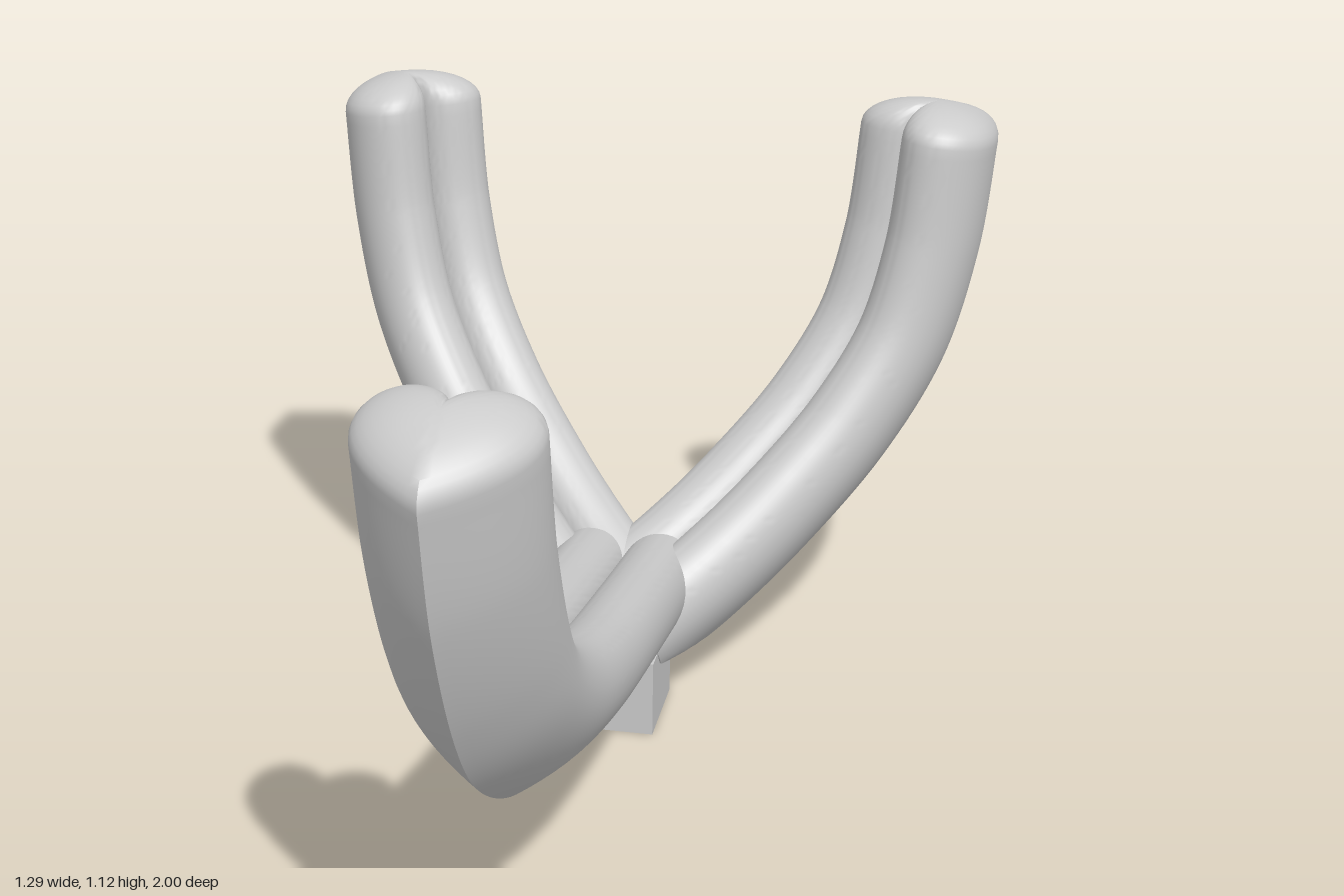
import * as THREE from 'three';
import { mergeVertices, toCreasedNormals } from 'three/addons/utils/BufferGeometryUtils.js';

const FLOOR = 0.115;   // underside where the arms are cut flat
const HUB_Z = -0.43;   // point where the arms meet
const material = new THREE.MeshStandardMaterial({ color: 0xcccccc });

// Heart section: x = sideways, y = distance inward from the outer ridge
function heartSection() {
  const s = new THREE.Shape();
  s.moveTo(0, 0);
  s.bezierCurveTo(0.07, 0.045, 0.14, 0.11, 0.14, 0.178);
  s.bezierCurveTo(0.14, 0.225, 0.11, 0.262, 0.07, 0.262);
  s.bezierCurveTo(0.035, 0.262, 0.006, 0.24, 0, 0.212);
  s.bezierCurveTo(-0.006, 0.24, -0.035, 0.262, -0.07, 0.262);
  s.bezierCurveTo(-0.11, 0.262, -0.14, 0.225, -0.14, 0.178);
  s.bezierCurveTo(-0.14, 0.11, -0.07, 0.045, 0, 0);
  const pts = s.getPoints(12);
  if (pts[0].distanceTo(pts[pts.length - 1]) < 1e-6) pts.pop();
  return pts;
}

// Sweep the heart along its outer ridge, given as [outward, height] points
function armGeometry(ridge) {
  const curve = new THREE.SplineCurve(ridge.map(([u, y]) => new THREE.Vector2(u, y)));
  const section = heartSection(), n = section.length;
  const steps = 90, capSteps = 10, capHeight = 0.065, centre = 0.15;

  // Each ring: position along the ridge, scale about the centre, lift for the domed tip
  const rings = [{ t: 0, scale: 0, lift: 0 }];
  for (let i = 0; i <= steps; i++) rings.push({ t: i / steps, scale: 1, lift: 0 });
  for (let i = 1; i <= capSteps; i++) {
    const a = (i / capSteps) * Math.PI / 2;
    rings.push({ t: 1, scale: i === capSteps ? 0 : Math.cos(a), lift: capHeight * Math.sin(a) });
  }

  const positions = [], index = [];
  rings.forEach(({ t, scale, lift }, r) => {
    const p = curve.getPointAt(t), d = curve.getTangentAt(t);
    section.forEach((q, j) => {
      const inward = centre + (q.y - centre) * scale;
      const u = p.x - d.y * inward + d.x * lift;
      const y = p.y + d.x * inward + d.y * lift;
      positions.push(q.x * scale, Math.max(y, FLOOR), u);
      if (r === 0) return;
      const k = (j + 1) % n, a = (r - 1) * n + j, b = (r - 1) * n + k;
      if (r > 1) index.push(a, b, r * n + k);
      else index.push(a, r * n + k, r * n + j);
      if (r > 1 && r < rings.length - 1) index.push(a, r * n + k, r * n + j);
    });
  });
  const g = new THREE.BufferGeometry();
  g.setAttribute('position', new THREE.Float32BufferAttribute(positions, 3));
  g.setIndex(index);
  return toCreasedNormals(mergeVertices(g, 1e-5), 0.7);
}

export function createModel() {
  const group = new THREE.Group();

  const addArm = (name, geometry, degrees) => {
    const arm = new THREE.Mesh(geometry, material);
    arm.name = name;
    arm.position.z = HUB_Z;
    arm.rotation.y = THREE.MathUtils.degToRad(degrees);
    group.add(arm);
  };

  // Long front arm
  addArm('frontArm', armGeometry([
    [-0.04, 0.06], [0.27, 0.117], [0.62, 0.19], [0.89, 0.28],
    [1.12, 0.42], [1.26, 0.58], [1.37, 0.8], [1.425, 1.01],
  ]), 0);

  // Pair of shorter, steeper back arms
  const backArm = armGeometry([
    [0.08, 0.02], [0.25, 0.112], [0.42, 0.23], [0.6, 0.39],
    [0.74, 0.58], [0.815, 0.8], [0.845, 1.02],
  ]);
  addArm('leftBackArm', backArm, 131);
  addArm('rightBackArm', backArm, -131);

  // Square mounting peg
  const peg = new THREE.Mesh(new THREE.BoxGeometry(0.19, 0.15, 0.19), material);
  peg.name = 'basePeg';
  peg.position.set(0, 0.075, -0.385);
  group.add(peg);

  return group;
}
